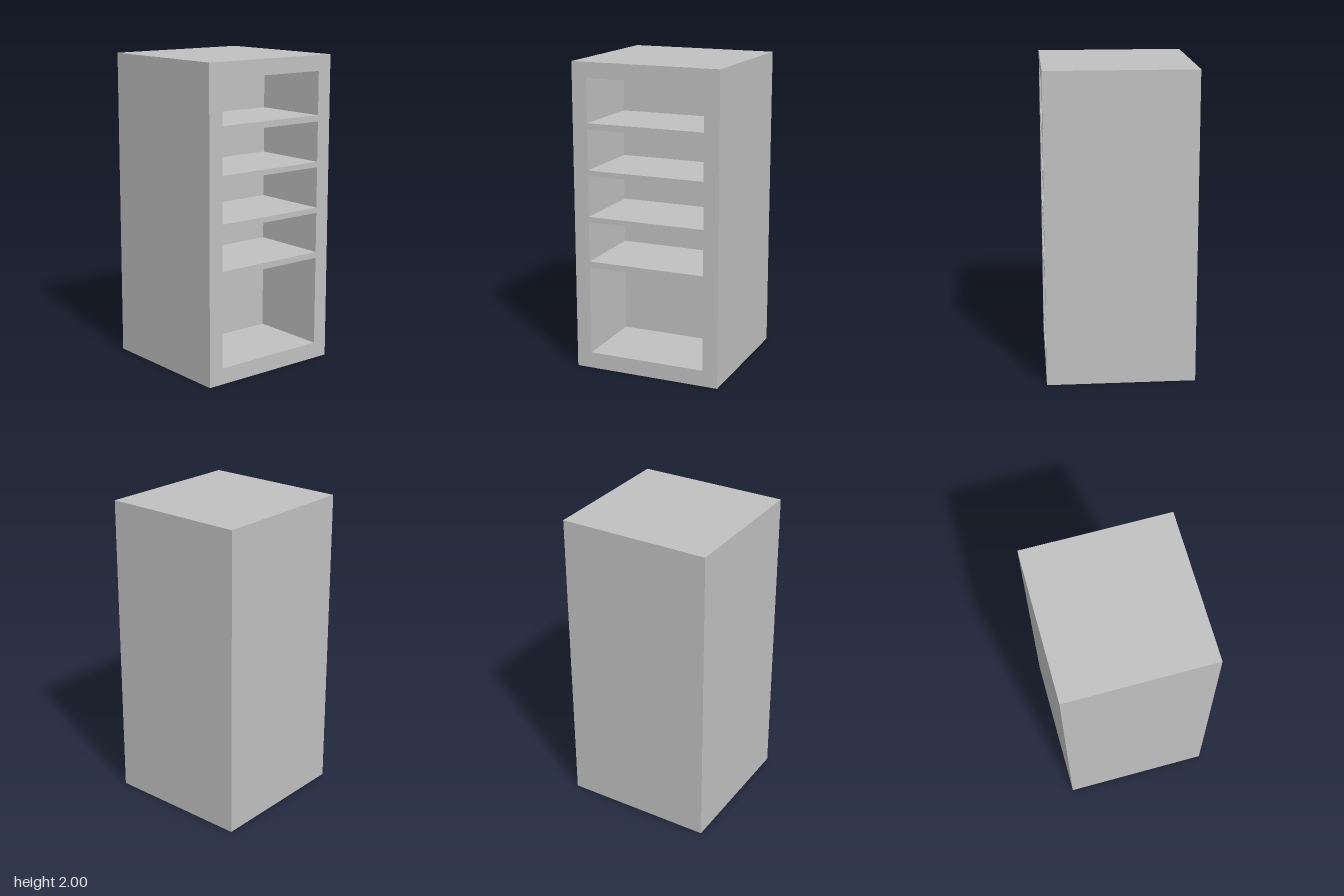
import * as THREE from 'three';

const WIDTH = 0.98, HEIGHT = 2, DEPTH = 0.95;
const OPENING_WIDTH = 0.78, OPENING_DEPTH = 0.52;
// Bottom and top height of each compartment
const COMPARTMENTS = [[0.105, 0.685], [0.725, 0.985], [1.02, 1.285], [1.32, 1.58], [1.62, 1.9]];

// Box without its +z face; inward turns the faces to the inside
function openBox(w, h, d, inward) {
  const geometry = new THREE.BoxGeometry(w, h, d);
  const index = Array.from(geometry.index.array);
  index.splice(24, 6);
  if (inward) index.reverse();
  geometry.setIndex(index);
  geometry.clearGroups();
  geometry.computeVertexNormals();
  return geometry;
}

function rectangle(path, w, y0, y1) {
  path.moveTo(-w / 2, y0);
  path.lineTo(w / 2, y0);
  path.lineTo(w / 2, y1);
  path.lineTo(-w / 2, y1);
  path.closePath();
  return path;
}

export function createModel() {
  const group = new THREE.Group();
  group.name = 'shelfCabinet';
  const grey = new THREE.MeshStandardMaterial({ color: 0xc0c0c0 });
  grey.name = 'grey';

  const add = (name, geometry, x, y, z) => {
    const mesh = new THREE.Mesh(geometry, grey);
    mesh.name = name;
    mesh.position.set(x, y, z);
    group.add(mesh);
  };

  // Outer sides, back, top and bottom
  add('carcass', openBox(WIDTH, HEIGHT, DEPTH, false), 0, HEIGHT / 2, 0);

  // Front frame with the shelf edges
  const front = rectangle(new THREE.Shape(), WIDTH, 0, HEIGHT);
  for (const [y0, y1] of COMPARTMENTS) {
    front.holes.push(rectangle(new THREE.Path(), OPENING_WIDTH, y0, y1));
  }
  add('frontFrame', new THREE.ShapeGeometry(front), 0, 0, DEPTH / 2);

  // Recessed compartments
  COMPARTMENTS.forEach(([y0, y1], i) => {
    add(`compartment${i + 1}`, openBox(OPENING_WIDTH, y1 - y0, OPENING_DEPTH, true),
      0, (y0 + y1) / 2, (DEPTH - OPENING_DEPTH) / 2);
  });

  return group;
}
